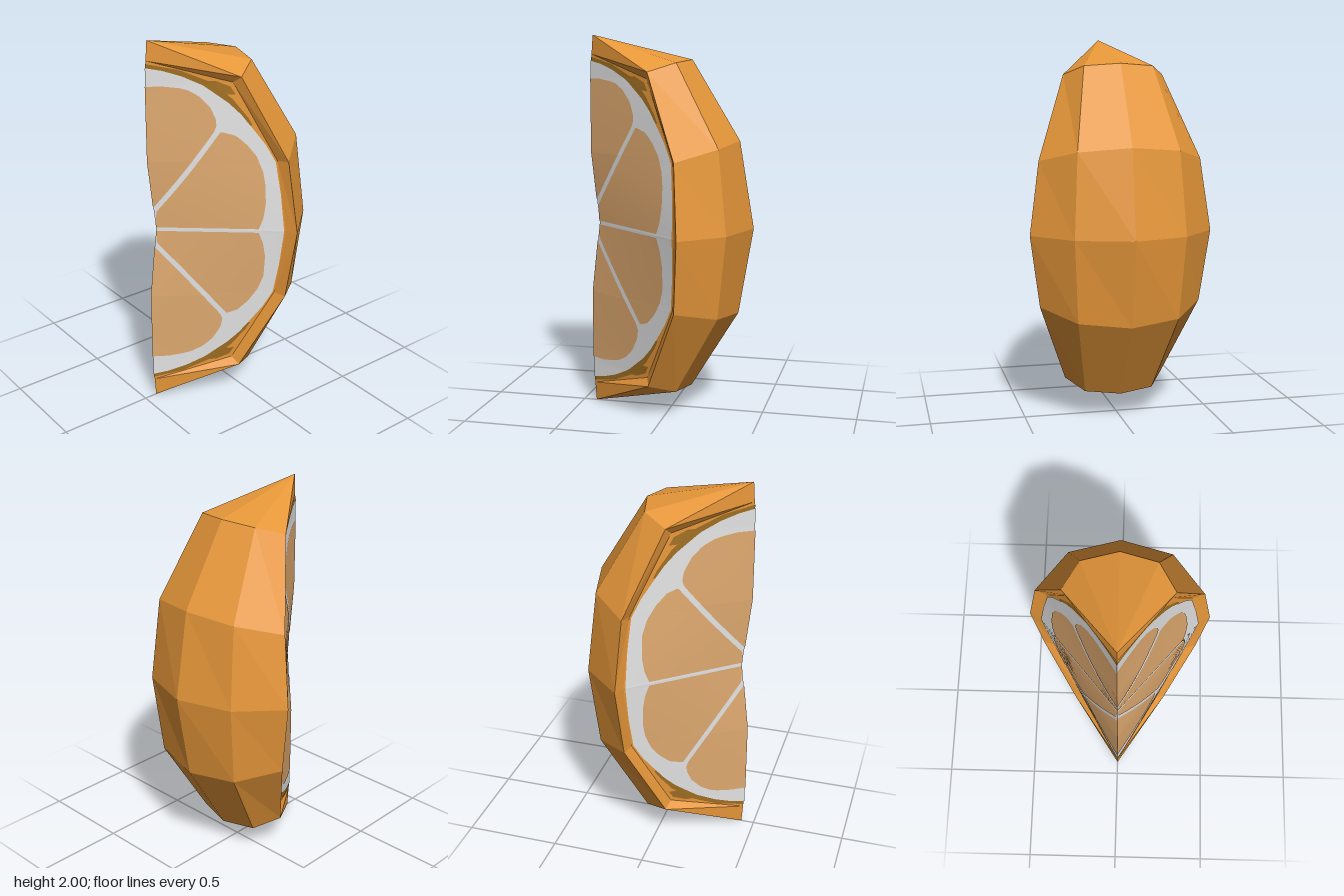
import * as THREE from 'three';
import { mergeVertices } from 'three/addons/utils/BufferGeometryUtils.js';

const rind = new THREE.MeshStandardMaterial({ color: 0xe8983a });
const pith = new THREE.MeshStandardMaterial({ color: 0xe4e4e4 });
const pulp = new THREE.MeshStandardMaterial({ color: 0xe0aa70 });
const peelLine = new THREE.MeshStandardMaterial({ color: 0xa06e22 });

// Piecewise linear curve through [t, value] pairs
const curve = (pts) => (t) => {
  if (t <= pts[0][0]) return pts[0][1];
  for (let i = 1; i < pts.length; i++) {
    const [a, va] = pts[i - 1], [b, vb] = pts[i];
    if (t <= b) return va + (vb - va) * (t - a) / (b - a);
  }
  return pts[pts.length - 1][1];
};

function facets(name, tris, material, smooth = false) {
  let geo = new THREE.BufferGeometry();
  geo.setAttribute('position', new THREE.Float32BufferAttribute(tris.flat(), 3));
  if (smooth) geo = mergeVertices(geo, 1e-5);
  geo.computeVertexNormals();
  const mesh = new THREE.Mesh(geo, material);
  mesh.name = name;
  return mesh;
}

// Outer rind: faceted rings, from the +z edge round to the -z edge
function makeRind() {
  const ring = (half) => [...half, ...half.slice(0, 2).reverse().map(([x, y, z]) => [x, y, -z])];
  const tip = Array(5).fill([-0.43, 2, 0]);
  const high = ring([[-0.065, 1.815, 0.268], [0.065, 1.86, 0.183], [0.11, 1.873, 0]]);
  const upper = ring([[0.11, 1.38, 0.43], [0.3, 1.435, 0.265], [0.363, 1.457, 0]]);
  const middle = ring([[0.135, 1, 0.483], [0.347, 1, 0.29], [0.44, 1, 0]]);
  const flip = (r) => r.map(([x, y, z]) => [x, 2 - y, z]);
  const rings = [tip, high, upper, middle, flip(upper), flip(high), flip(tip)];
  const tris = [];
  for (let r = 0; r < 6; r++) {
    const a = rings[r], b = rings[r + 1];
    for (let i = 0; i < 4; i++) {
      if (r < 5) tris.push(...a[i], ...b[i], ...b[i + 1]);
      if (r > 0) tris.push(...a[i], ...b[i + 1], ...a[i + 1]);
    }
  }
  return facets('rind', tris, rind);
}

// Outer rim and the sunken edge of the cut face, as [x, t, z];
// t is the height above or below the middle
const rim = [[0.135, 0, 0.483], [0.11, 0.38, 0.43], [-0.065, 0.815, 0.268], [-0.43, 1, 0]];
const inner = [[0.108, 0, 0.425], [0.09, 0.375, 0.366], [-0.08, 0.78, 0.222], [-0.437, 0.9, 0]];
const axisX = curve([[0, -0.395], [0.38, -0.437], [0.9, -0.437]]);
const innerX = curve(inner.map(([x, t]) => [t, x]));
const innerZ = curve(inner.map(([, t, z]) => [t, z]));

// Collects triangles for one quarter, mirrored in height and depth
function quarter(up, side) {
  const tris = [];
  const place = ([x, t, z]) => [x, 1 + up * t, side * z];
  const add = (a, b, c) => tris.push(...(up * side > 0 ? [a, b, c] : [a, c, b]).flatMap(place));
  return { tris, add };
}

// Steep lip between the rim and the sunken cut face
function makeLip(up, side) {
  const { tris, add } = quarter(up, side);
  for (let i = 0; i < 3; i++) {
    add(inner[i + 1], inner[i], rim[i]);
    add(inner[i + 1], rim[i], rim[i + 1]);
  }
  return facets('rindLip', tris, rind);
}

function cutPoint(x, t, lift) {
  const width = innerX(t) - axisX(t);
  const z = width > 1e-5 ? innerZ(t) * (x - axisX(t)) / width : 0;
  return [x - lift, t, z];
}

// A patch of the cut face between two edge curves, in rows
function cutPatch(name, material, t0, t1, left, right, lift, up, side) {
  const { tris, add } = quarter(up, side);
  const ts = [0.375, 0.38, 0.78].filter((t) => t > t0 && t < t1);
  for (let i = 0; i <= 56; i++) ts.push(t0 + (t1 - t0) * i / 56);
  ts.sort((a, b) => a - b);
  const row = (t) => [cutPoint(left(t), t, lift), cutPoint(Math.max(left(t), right(t)), t, lift)];
  for (let i = 1; i < ts.length; i++) {
    const [l0, r0] = row(ts[i - 1]), [l1, r1] = row(ts[i]);
    add(l0, r0, r1);
    add(l0, r1, l1);
  }
  return facets(name, tris, material, true);
}

const pithEdge = curve([[0, 0.105], [0.2, 0.1], [0.37, 0.087], [0.46, 0.048], [0.54, 0], [0.62, -0.05],
  [0.68, -0.1], [0.77, -0.2], [0.82, -0.29], [0.85, -0.37], [0.865, -0.437]]);
const lineEdge = curve([[0.55, 0], [0.6, -0.022], [0.7, -0.085], [0.79, -0.18], [0.85, -0.3], [0.885, -0.437]]);
const smearLeft = curve([[0.72, -0.11], [0.79, -0.19]]);
const smearRight = curve([[0.72, -0.07], [0.76, -0.09], [0.79, -0.15]]);

// Pulp segments: the two halves of each cut differ slightly
const wide = {
  innerTop: 0.53, outerFrom: 0.13, outerTop: 0.772,
  innerLeft: curve([[0.1, -0.395], [0.53, -0.135]]),
  innerRight: curve([[0.01, 0.008], [0.07, 0.028], [0.15, 0.04], [0.25, 0.042], [0.32, 0.035], [0.4, 0.012],
    [0.46, -0.025], [0.51, -0.07], [0.53, -0.125]]),
  outerRight: curve([[0.12, -0.41], [0.53, -0.162], [0.56, -0.15], [0.6, -0.152], [0.66, -0.173],
    [0.72, -0.22], [0.75, -0.265], [0.765, -0.31], [0.772, -0.37]]),
};
const narrow = {
  innerTop: 0.492, outerFrom: 0.1, outerTop: 0.752,
  innerLeft: curve([[0.075, -0.395], [0.492, -0.11]]),
  innerRight: curve([[0.01, 0.008], [0.07, 0.028], [0.15, 0.041], [0.27, 0.042], [0.35, 0.022], [0.42, -0.015],
    [0.475, -0.06], [0.492, -0.1]]),
  outerRight: curve([[0.1, -0.405], [0.5, -0.135], [0.53, -0.125], [0.58, -0.132], [0.65, -0.165],
    [0.7, -0.21], [0.735, -0.27], [0.752, -0.36]]),
};

export function createModel() {
  const group = new THREE.Group();
  group.name = 'fruitWedge';
  group.add(makeRind());
  for (const side of [1, -1]) {
    const face = new THREE.Group();
    face.name = side > 0 ? 'frontCut' : 'backCut';
    for (const up of [1, -1]) {
      const patch = (...args) => face.add(cutPatch(...args, up, side));
      const s = up * side > 0 ? wide : narrow;
      face.add(makeLip(up, side));
      patch('cutRind', rind, 0, 0.9, axisX, innerX, 0);
      patch('peelLine', peelLine, 0.56, 0.885, axisX, lineEdge, 0.003);
      patch('peelMark', peelLine, 0.72, 0.79, smearLeft, smearRight, 0.003);
      patch('pith', pith, 0, 0.865, axisX, pithEdge, 0.006);
      patch('innerSegment', pulp, 0.01, s.innerTop, (t) => Math.max(axisX(t), s.innerLeft(t)), s.innerRight, 0.009);
      patch('outerSegment', pulp, s.outerFrom, s.outerTop, axisX, s.outerRight, 0.009);
    }
    group.add(face);
  }
  return group;
}
